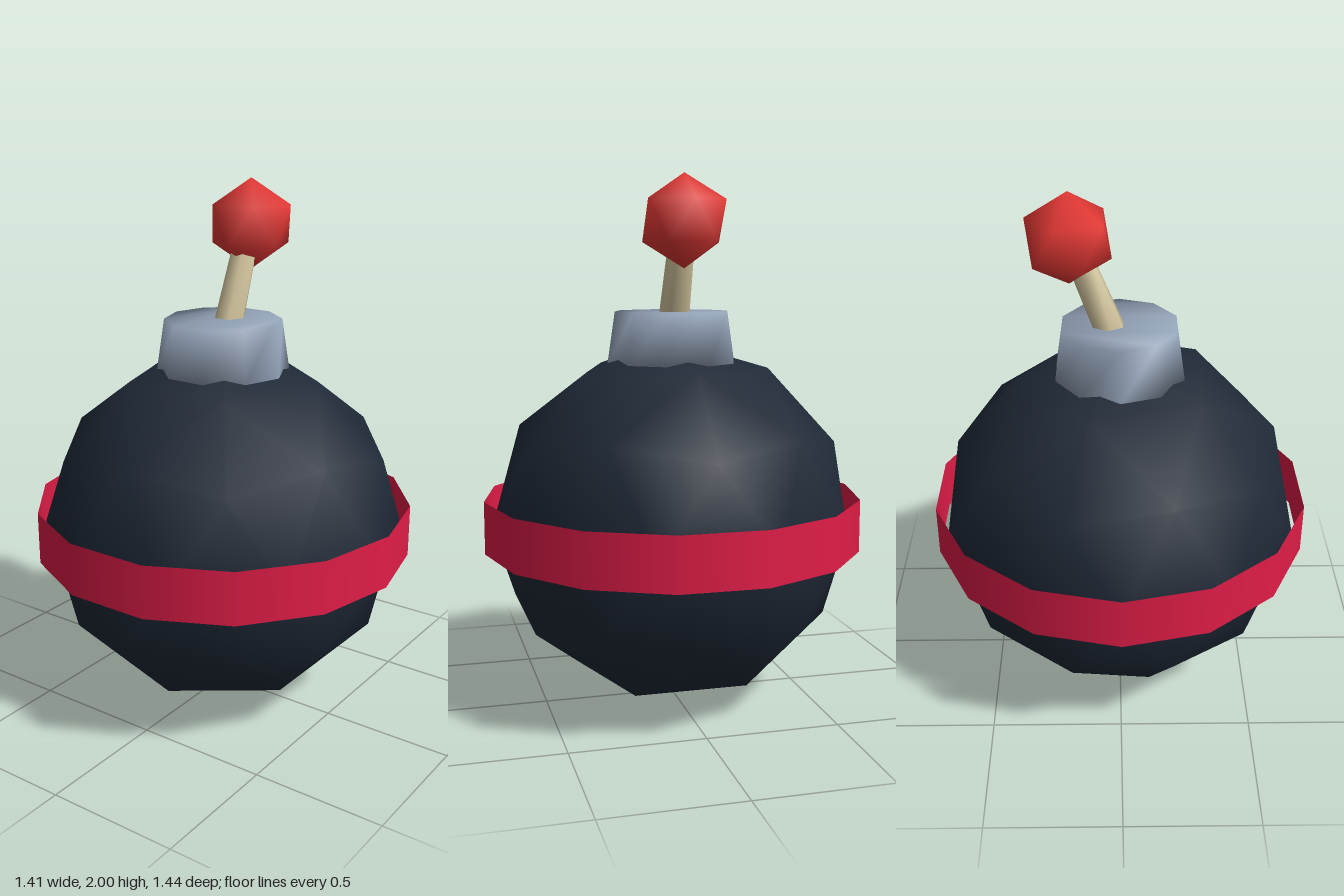
import * as THREE from 'three';

const mat = (name, color, side = THREE.FrontSide) => {
  const m = new THREE.MeshStandardMaterial({ color, side });
  m.name = name;
  return m;
};

// Icosphere with a vertex at each pole and smooth radial normals
function icosphere(radius, detail) {
  const g = new THREE.IcosahedronGeometry(radius, detail);
  g.rotateZ(-Math.atan(2 / (1 + Math.sqrt(5))));
  g.attributes.normal.copy(g.attributes.position);
  g.normalizeNormals();
  return g;
}

// Closed tapered prism whose ends share smooth normals with its sides
function softPrism(rBottom, rTop, y0, y1, sides) {
  const pos = [], idx = [];
  for (const [r, y] of [[rBottom, y0], [rTop, y1]]) {
    for (let i = 0; i < sides; i++) {
      const a = (i / sides) * Math.PI * 2;
      pos.push(r * Math.sin(a), y, r * Math.cos(a));
    }
  }
  for (let i = 0; i < sides; i++) {
    const j = (i + 1) % sides;
    idx.push(i, j, sides + j, i, sides + j, sides + i);
  }
  // End faces, triangulated in strips from front to back
  for (let lo = 0, hi = sides - 1, flip = false; hi - lo > 1; flip = !flip) {
    const mid = flip ? hi - 1 : lo + 1;
    idx.push(sides + lo, sides + mid, sides + hi, lo, hi, mid);
    if (flip) hi--; else lo++;
  }
  const g = new THREE.BufferGeometry();
  g.setAttribute('position', new THREE.Float32BufferAttribute(pos, 3));
  g.setIndex(idx);
  g.computeVertexNormals();
  return g;
}

export function createModel() {
  const model = new THREE.Group();
  model.name = 'bomb';
  const add = (name, geometry, material, x, y) => {
    const mesh = new THREE.Mesh(geometry, material);
    mesh.name = name;
    mesh.position.set(x, y, 0);
    model.add(mesh);
    return mesh;
  };

  // Round shell
  add('body', icosphere(0.694, 1), mat('darkNavy', 0x1f2937), 0, 0.697);

  // Thin loose hoop around the middle
  add('band', new THREE.CylinderGeometry(0.722, 0.722, 0.2, 14, 1, true),
    mat('crimson', 0xe11d48, THREE.DoubleSide), 0, 0.7);

  // Collar on top
  add('collar', softPrism(0.25, 0.22, 1.3, 1.5, 10), mat('steelGrey', 0x94a3b8), 0, 0);

  // Leaning fuse
  const fuse = add('fuse', softPrism(0.062, 0.05, 0, 0.4, 6), mat('cream', 0xd6c8a0), 0.005, 1.4);
  fuse.rotation.z = -0.37;

  // Glowing tip
  add('fuseTip', icosphere(0.17, 0), mat('brightRed', 0xe53935), 0.18, 1.83);

  return model;
}
